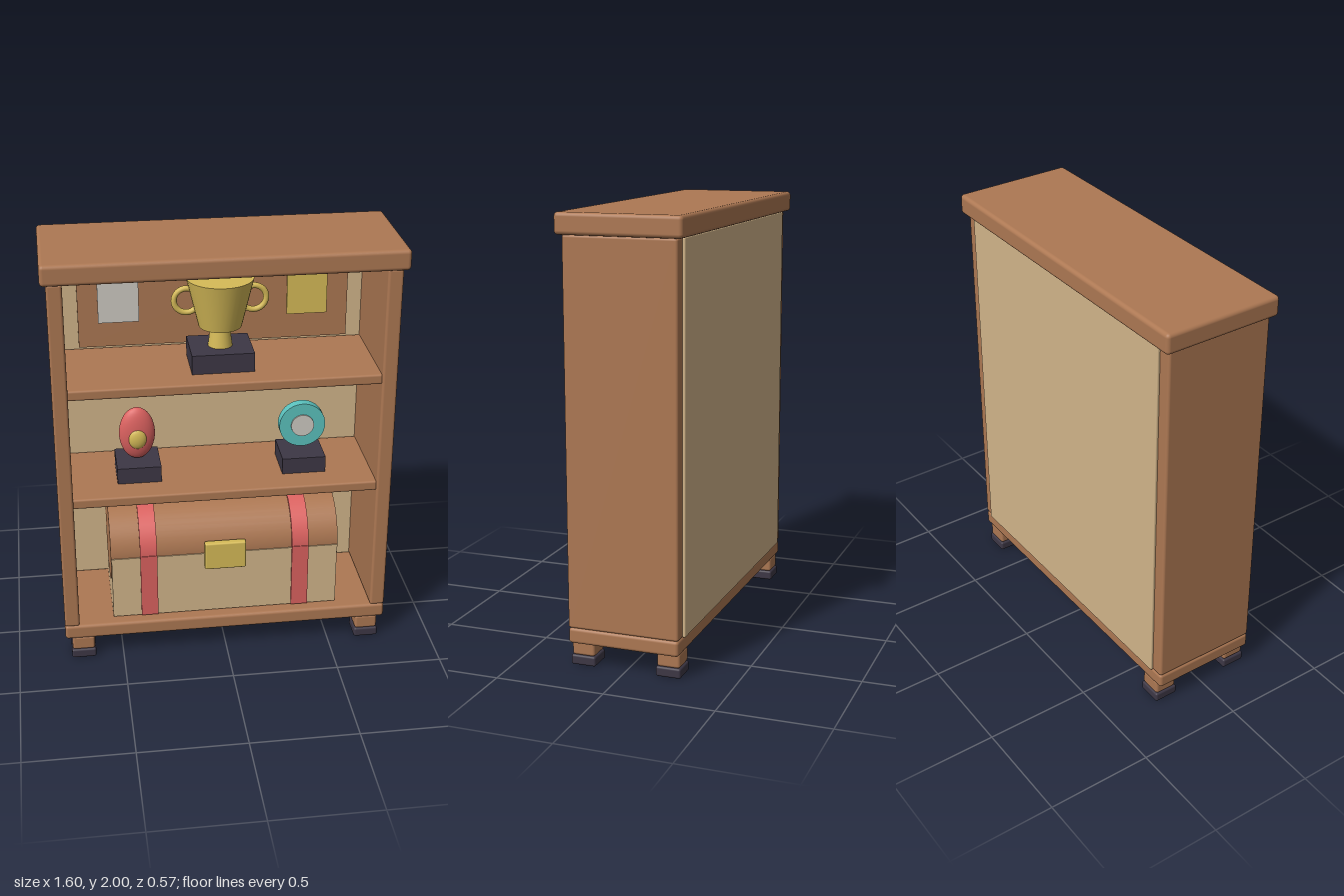
import * as THREE from 'three';
import { RoundedBoxGeometry } from 'three/addons/geometries/RoundedBoxGeometry.js';

const mat = (name, color) => {
  const m = new THREE.MeshStandardMaterial({ color });
  m.name = name;
  return m;
};

export function createModel() {
  const wood = mat('wood', 0xad7853);
  const tan = mat('tan', 0xd2b58a);
  const dark = mat('dark', 0x3d3745);
  const gold = mat('gold', 0xd6bb58);
  const silver = mat('silver', 0xcfcbc3);
  const red = mat('red', 0xdc6260);
  const teal = mat('teal', 0x5bc2be);

  const group = (parent, name, x = 0, y = 0, z = 0) => {
    const g = new THREE.Group();
    g.name = name;
    g.position.set(x, y, z);
    parent.add(g);
    return g;
  };
  const add = (parent, name, geometry, material, x, y, z) => {
    const m = new THREE.Mesh(geometry, material);
    m.name = name;
    m.position.set(x, y, z);
    parent.add(m);
    return m;
  };
  // Box given by its size and centre, with optional rounded edges
  const box = (parent, name, material, [w, h, d], [x, y, z], r = 0) =>
    add(parent, name, r ? new RoundedBoxGeometry(w, h, d, 3, r) : new THREE.BoxGeometry(w, h, d), material, x, y, z);

  const model = new THREE.Group();
  model.name = 'displayCabinet';

  // Cabinet carcass
  const cabinet = group(model, 'cabinet');
  box(cabinet, 'topSlab', wood, [1.6, 0.095, 0.57], [0, 1.9525, 0], 0.018);
  box(cabinet, 'baseSlab', wood, [1.55, 0.072, 0.515], [0, 0.145, 0.002], 0.015);
  for (const s of [-1, 1]) {
    box(cabinet, 'sidePanel', wood, [0.07, 1.726, 0.515], [s * 0.74, 1.043, 0.002], 0.012);
  }
  box(cabinet, 'backPanel', tan, [1.43, 1.724, 0.035], [0, 1.043, -0.25], 0.006);
  for (const y of [0.835, 1.38]) {
    box(cabinet, 'shelf', wood, [1.42, 0.048, 0.48], [0, y, 0.008], 0.01);
  }

  // Feet with dark pads
  for (const x of [-0.69, 0.69]) {
    for (const z of [-0.198, 0.202]) {
      box(cabinet, 'foot', wood, [0.107, 0.07, 0.107], [x, 0.08, z], 0.012);
      box(cabinet, 'footPad', dark, [0.116, 0.046, 0.116], [x, 0.023, z], 0.01);
    }
  }

  // Display board with two plaques
  const board = group(model, 'displayBoard');
  box(board, 'board', wood, [1.267, 0.46, 0.02], [0, 1.645, -0.224]);
  box(board, 'silverPlaque', silver, [0.19, 0.21, 0.009], [-0.445, 1.64, -0.21]);
  box(board, 'goldPlaque', gold, [0.19, 0.21, 0.009], [0.44, 1.64, -0.21]);

  // Trophy cup
  const trophy = group(model, 'trophy', 0, 1.404, 0.018);
  box(trophy, 'trophyBase', dark, [0.285, 0.09, 0.24], [0, 0.045, 0]);
  add(trophy, 'stem', new THREE.CylinderGeometry(0.043, 0.056, 0.1, 32), gold, 0, 0.138, 0);
  add(trophy, 'bowl', new THREE.CylinderGeometry(0.153, 0.098, 0.23, 32), gold, 0, 0.301, 0);
  for (const s of [-1, 1]) {
    add(trophy, 'handle', new THREE.TorusGeometry(0.057, 0.0135, 12, 32), gold, s * 0.152, 0.312, 0);
  }

  // Red oval award
  const oval = group(model, 'ovalAward', -0.39, 0.859, 0.014);
  box(oval, 'ovalBase', dark, [0.205, 0.078, 0.21], [0, 0.039, 0]);
  add(oval, 'oval', new THREE.SphereGeometry(1, 32, 20), red, 0, 0.21, 0).scale.set(0.084, 0.13, 0.042);
  add(oval, 'ovalBadge', new THREE.SphereGeometry(1, 20, 14), gold, 0, 0.193, 0.034).scale.set(0.042, 0.05, 0.02);

  // Teal disc award
  const disc = group(model, 'discAward', 0.385, 0.859, 0.014);
  box(disc, 'discBase', dark, [0.205, 0.078, 0.21], [0, 0.039, 0]);
  add(disc, 'disc', new THREE.CylinderGeometry(0.109, 0.109, 0.046, 40), teal, 0.003, 0.21, 0).rotation.x = Math.PI / 2;
  add(disc, 'discCentre', new THREE.CylinderGeometry(0.054, 0.054, 0.009, 32), silver, 0.003, 0.21, 0.026).rotation.x = Math.PI / 2;

  // Chest with a barrel lid, straps and latch
  const chest = group(model, 'chest', 0, 0.18, 0.008);
  const barrel = (name, material, r, length, x) => {
    add(chest, name, new THREE.CylinderGeometry(r, r, length, 40), material, x, 0.325, 0).rotation.z = Math.PI / 2;
  };
  box(chest, 'chestBody', tan, [1.08, 0.318, 0.4], [0, 0.166, 0]);
  barrel('chestLid', wood, 0.195, 1.086, 0);
  for (const x of [-0.365, 0.36]) {
    box(chest, 'bodyStrap', red, [0.08, 0.325, 0.418], [x, 0.172, 0]);
    barrel('lidStrap', red, 0.206, 0.08, x);
  }
  box(chest, 'latch', gold, [0.195, 0.14, 0.035], [-0.002, 0.322, 0.212], 0.008);

  return model;
}
